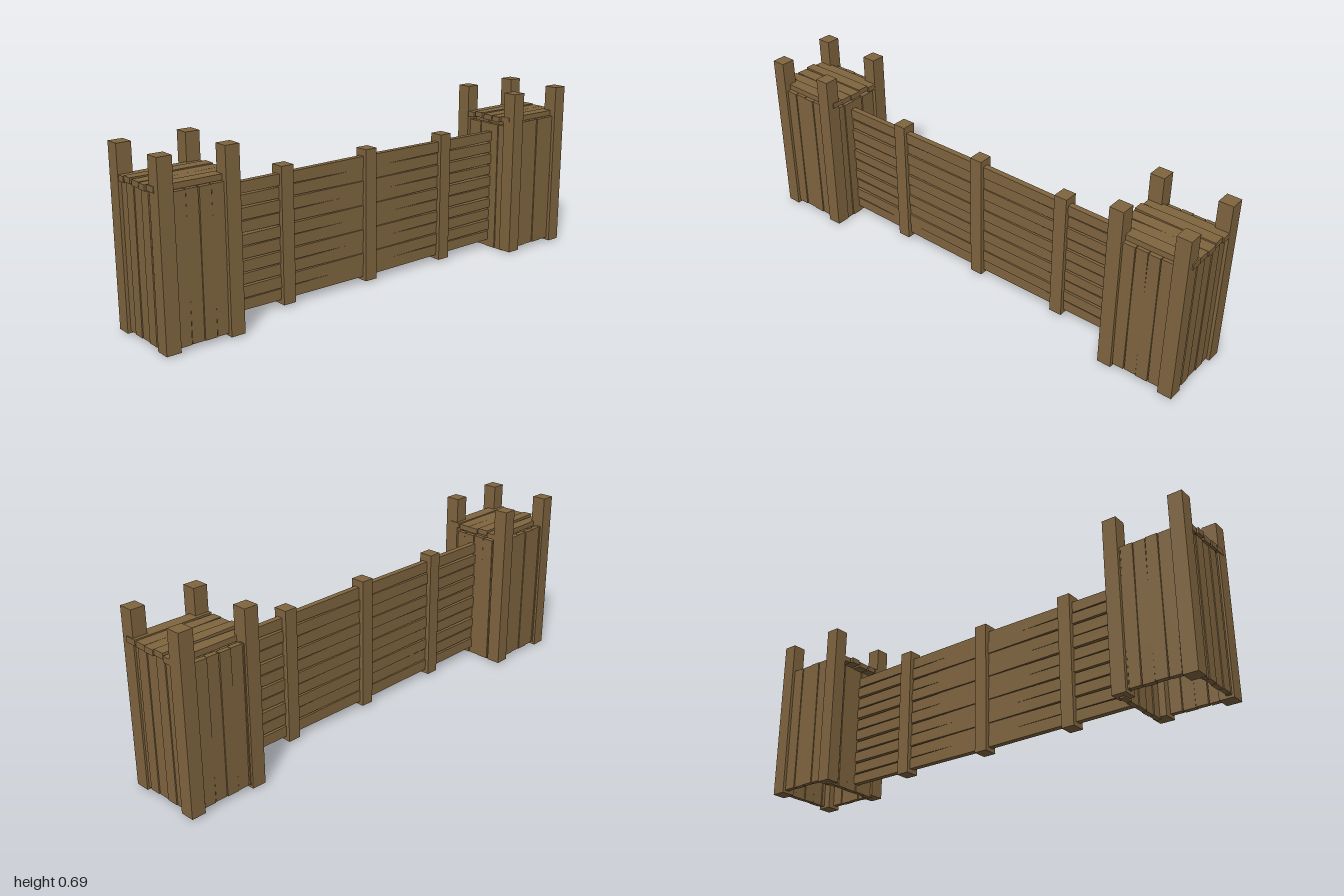
import * as THREE from 'three';

const wood = new THREE.MeshStandardMaterial({ color: 0x80653f });
wood.name = 'weathered wood';

// Box given by its centre and size
function beam(name, parent, [x, y, z], [w, h, d]) {
  const mesh = new THREE.Mesh(new THREE.BoxGeometry(w, h, d), wood);
  mesh.name = name;
  mesh.position.set(x, y, z);
  parent.add(mesh);
  return mesh;
}

// Rough-cut board along x: its width (y) shrinks towards either end
function boardGeometry(length, width, thickness, startScale, endScale) {
  const geo = new THREE.BoxGeometry(length, width, thickness, 4, 1, 1);
  const p = geo.attributes.position;
  for (let i = 0; i < p.count; i++) {
    const t = p.getX(i) / (length / 2);
    const s = THREE.MathUtils.lerp(1, t < 0 ? startScale : endScale, Math.abs(t));
    p.setY(i, p.getY(i) * s);
  }
  const flat = geo.toNonIndexed();
  flat.computeVertexNormals();
  return flat;
}

function board(name, parent, geo, x, y, z) {
  const mesh = new THREE.Mesh(geo, wood);
  mesh.name = name;
  mesh.position.set(x, y, z);
  parent.add(mesh);
  return mesh;
}

// Wall of upright boards lying in the xy plane, centred on its group
function boardWall(name, count, pitch, height) {
  const wall = new THREE.Group();
  wall.name = name;
  for (let i = 0; i < count; i++) {
    const start = [0.98, 0.93, 0.96][i % 3];
    const end = [0.94, 0.98, 0.95][i % 3];
    const geo = boardGeometry(height, pitch * 0.985, 0.02, start, end);
    geo.rotateZ(Math.PI / 2);
    board('wallBoard', wall, geo, (i - (count - 1) / 2) * pitch, 0, (i % 2) * 0.003);
  }
  return wall;
}

// Hollow tower; inner is the side (+1 or -1 in x) that meets the fence
function tower(name, inner) {
  const g = new THREE.Group();
  g.name = name;

  // Corner posts, the front pair a little closer together
  for (const sx of [-1, 1]) {
    beam('cornerPost', g, [sx * 0.134, 0.35, -0.131], [0.057, 0.688, 0.058]);
    beam('cornerPost', g, [sx * 0.129, 0.35, 0.131], [0.057, 0.688, 0.058]);
  }

  // Front and back walls
  for (const s of [-1, 1]) {
    const wall = boardWall(s > 0 ? 'frontWall' : 'backWall', 6, 0.05, 0.55);
    wall.position.set(0, 0.293, s * 0.137);
    if (s < 0) wall.rotation.y = Math.PI;
    g.add(wall);
  }

  // Outer wall, and the inner one set down to the ground
  const outerWall = boardWall('outerWall', 5, 0.05, 0.55);
  outerWall.rotation.y = -inner * Math.PI / 2;
  outerWall.position.set(-inner * 0.14, 0.29, 0.012);
  g.add(outerWall);
  const innerWall = boardWall('innerWall', 5, 0.05, 0.55);
  innerWall.rotation.y = inner * Math.PI / 2;
  innerWall.position.set(inner * 0.137, 0.275, -0.011);
  g.add(innerWall);

  // Platform boards with wedge-shaped gaps at the outer ends
  const zs = [0.111, 0.061, 0.012, -0.038, -0.09];
  const ys = [0.581, 0.577, 0.577, 0.581, 0.574];
  zs.forEach((z, i) => {
    const geo = boardGeometry(0.322, 0.049, 0.022, [0.92, 0.8, 0.95, 0.82, 0.85][i], 0.96);
    geo.rotateX(-Math.PI / 2);
    board('platformBoard', g, geo, i % 2 ? -0.002 : 0.001, ys[i], z);
  });
  return g;
}

// Fence of horizontal boards, narrowing towards the towers
function fence() {
  const g = new THREE.Group();
  g.name = 'fence';
  const count = 10, pitch = 0.0495;
  for (let i = 0; i < count; i++) {
    const left = [0.84, 0.9, 0.8][i % 3];
    const right = [0.8, 0.86, 0.84][i % 3];
    const geo = boardGeometry(1.375, pitch * 0.995, 0.024, left, right);
    board('fenceBoard', g, geo, 0, 0.05 + i * pitch, 0.013 + (i % 2) * 0.004);
  }
  for (const x of [-0.4, 0, 0.4]) {
    beam('fencePost', g, [x, 0.279, 0.014], [0.054, 0.538, 0.058]);
  }
  return g;
}

export function createModel() {
  const model = new THREE.Group();
  model.name = 'woodenBarricade';
  const right = tower('rightTower', 1);
  right.position.x = -0.8375;
  const left = tower('leftTower', -1);
  left.position.x = 0.8375;
  model.add(right, left, fence());
  return model;
}
